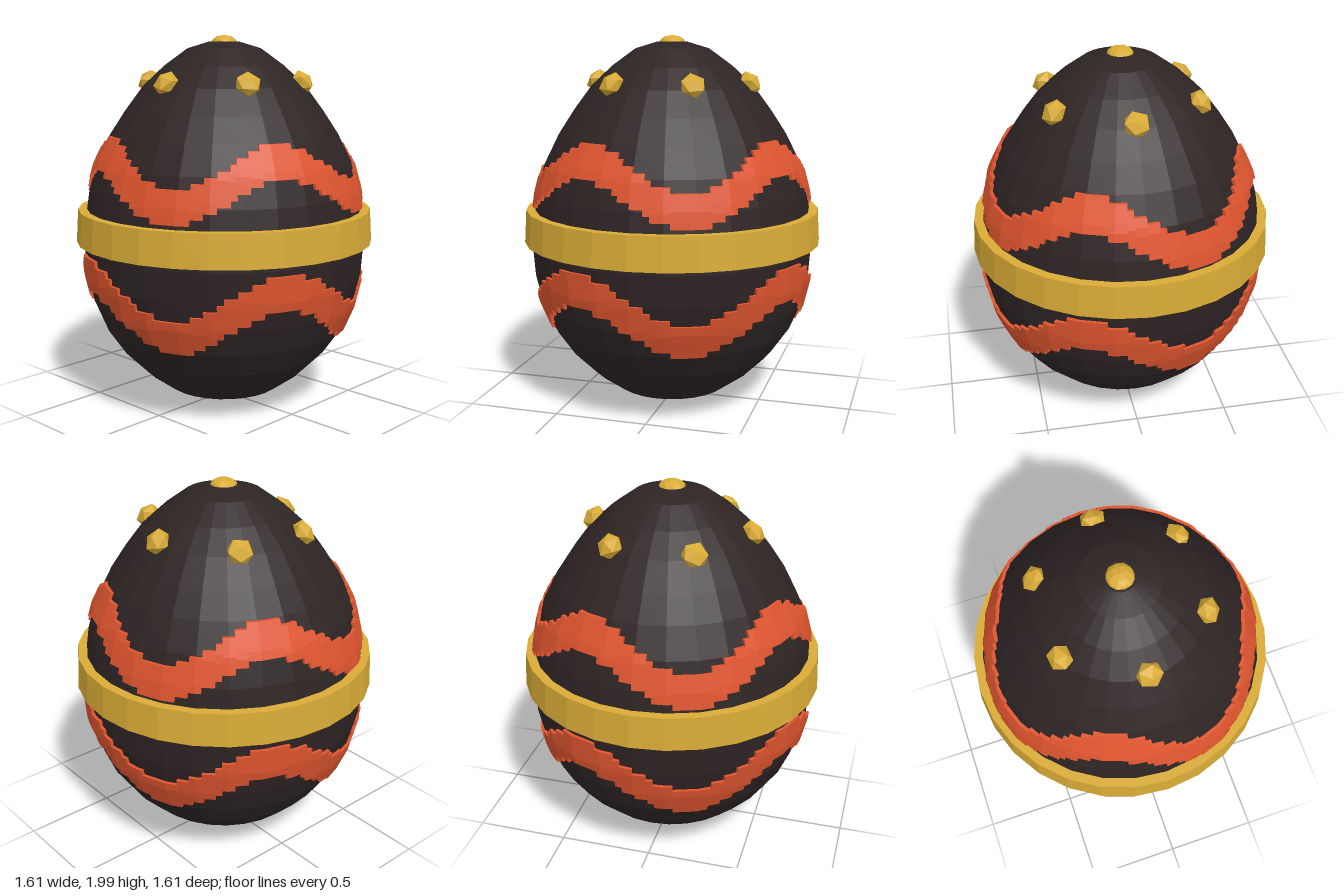
import * as THREE from 'three';

const SIDES = 28;

// Egg outline as [radius, height], bottom to top
const PROFILE = [
  [0, 0.01], [0.17, 0.03], [0.31, 0.08], [0.44, 0.175], [0.565, 0.3], [0.658, 0.435],
  [0.715, 0.57], [0.75, 0.72], [0.762, 0.88], [0.753, 1.02], [0.729, 1.18], [0.687, 1.33],
  [0.612, 1.48], [0.53, 1.605], [0.433, 1.735], [0.32, 1.84], [0.196, 1.93], [0.08, 1.965], [0, 1.97],
];

const flat = (name, hex) => {
  const m = new THREE.MeshStandardMaterial({ color: hex, flatShading: true });
  m.name = name;
  return m;
};

function lathe(points) {
  return new THREE.LatheGeometry(points.map(([r, y]) => new THREE.Vector2(r, y)), SIDES);
}

// Egg radius at a height
function radiusAt(y) {
  const i = Math.max(1, PROFILE.findIndex((p) => p[1] >= y));
  const [r0, y0] = PROFILE[i - 1], [r1, y1] = PROFILE[i];
  return r0 + (r1 - r0) * (y - y0) / (y1 - y0);
}

// Point on the faceted egg, raised by an offset
function surfacePoint(phi, facet, y, offset) {
  const step = 2 * Math.PI / SIDES;
  const mid = (facet + 0.5) * step;
  const r = (radiusAt(y) + offset) * Math.cos(step / 2) / Math.cos(phi - mid);
  return [r * Math.sin(phi), y, r * Math.cos(phi)];
}

// Raised wavy stripe with stepped edges, built from narrow columns
function waveBand(centre, amplitude, half) {
  const positions = [];
  const quad = (a, b, c, d) => positions.push(...a, ...b, ...c, ...a, ...c, ...d);
  const perFacet = 5, rows = 4, out = 0.018, inn = -0.01;
  const columns = SIDES * perFacet;
  const levelStep = amplitude * 2 / 7;
  for (let i = 0; i < columns; i++) {
    const facet = Math.floor(i / perFacet);
    const p0 = i / columns * 2 * Math.PI, p1 = (i + 1) / columns * 2 * Math.PI;
    const wave = -amplitude * Math.sin(2 * (p0 + p1));
    const level = Math.round((wave + amplitude) / levelStep) * levelStep - amplitude;
    const low = centre + level - half, high = centre + level + half;
    const at = (phi, y, offset) => surfacePoint(phi, facet, y, offset);
    for (let j = 0; j < rows; j++) {
      const a = low + (high - low) * j / rows, b = low + (high - low) * (j + 1) / rows;
      quad(at(p0, a, out), at(p1, a, out), at(p1, b, out), at(p0, b, out));
      quad(at(p1, a, out), at(p1, a, inn), at(p1, b, inn), at(p1, b, out));
      quad(at(p0, a, inn), at(p0, a, out), at(p0, b, out), at(p0, b, inn));
    }
    quad(at(p0, high, out), at(p1, high, out), at(p1, high, inn), at(p0, high, inn));
    quad(at(p0, low, inn), at(p1, low, inn), at(p1, low, out), at(p0, low, out));
  }
  const g = new THREE.BufferGeometry();
  g.setAttribute('position', new THREE.Float32BufferAttribute(positions, 3));
  g.computeVertexNormals();
  return g;
}

export function createModel() {
  const group = new THREE.Group();
  const shell = flat('dark shell', 0x2e2424);
  const paint = flat('orange red', 0xe0552f);
  const gold = flat('gold', 0xd9ab36);

  const add = (name, geometry, material) => {
    const mesh = new THREE.Mesh(geometry, material);
    mesh.name = name;
    group.add(mesh);
    return mesh;
  };

  add('eggShell', lathe(PROFILE), shell);
  add('upperWave', waveBand(1.29, 0.105, 0.083), paint);
  add('lowerWave', waveBand(0.645, 0.118, 0.09), paint);

  // Gold belt, slightly narrower at the top
  add('belt', lathe([[0.74, 0.905], [0.803, 0.905], [0.792, 1.08], [0.74, 1.08], [0.74, 0.905]]), gold);

  // Ring of pointed studs, each with a corner facing outward
  const up = new THREE.Vector3(0, 1, 0);
  const corner = new THREE.Vector3(-1, (1 + Math.sqrt(5)) / 2, 0).normalize();
  const stud = new THREE.IcosahedronGeometry(0.07, 0);
  stud.applyQuaternion(new THREE.Quaternion().setFromUnitVectors(corner, up));
  stud.scale(1, 0.7, 1);
  for (let i = 0; i < 6; i++) {
    const a = i * Math.PI / 3;
    const mesh = add('stud', stud, gold);
    mesh.position.set(0.425 * Math.sin(a), 1.757, 0.425 * Math.cos(a));
    const normal = new THREE.Vector3(Math.sin(a) * 0.75, 0.66, Math.cos(a) * 0.75).normalize();
    mesh.quaternion.setFromUnitVectors(up, normal);
  }

  // Rounded stud on the crown
  const crown = add('crownStud', new THREE.IcosahedronGeometry(0.072, 1), gold);
  crown.scale.y = 0.6;
  crown.position.y = 1.957;

  return group;
}
